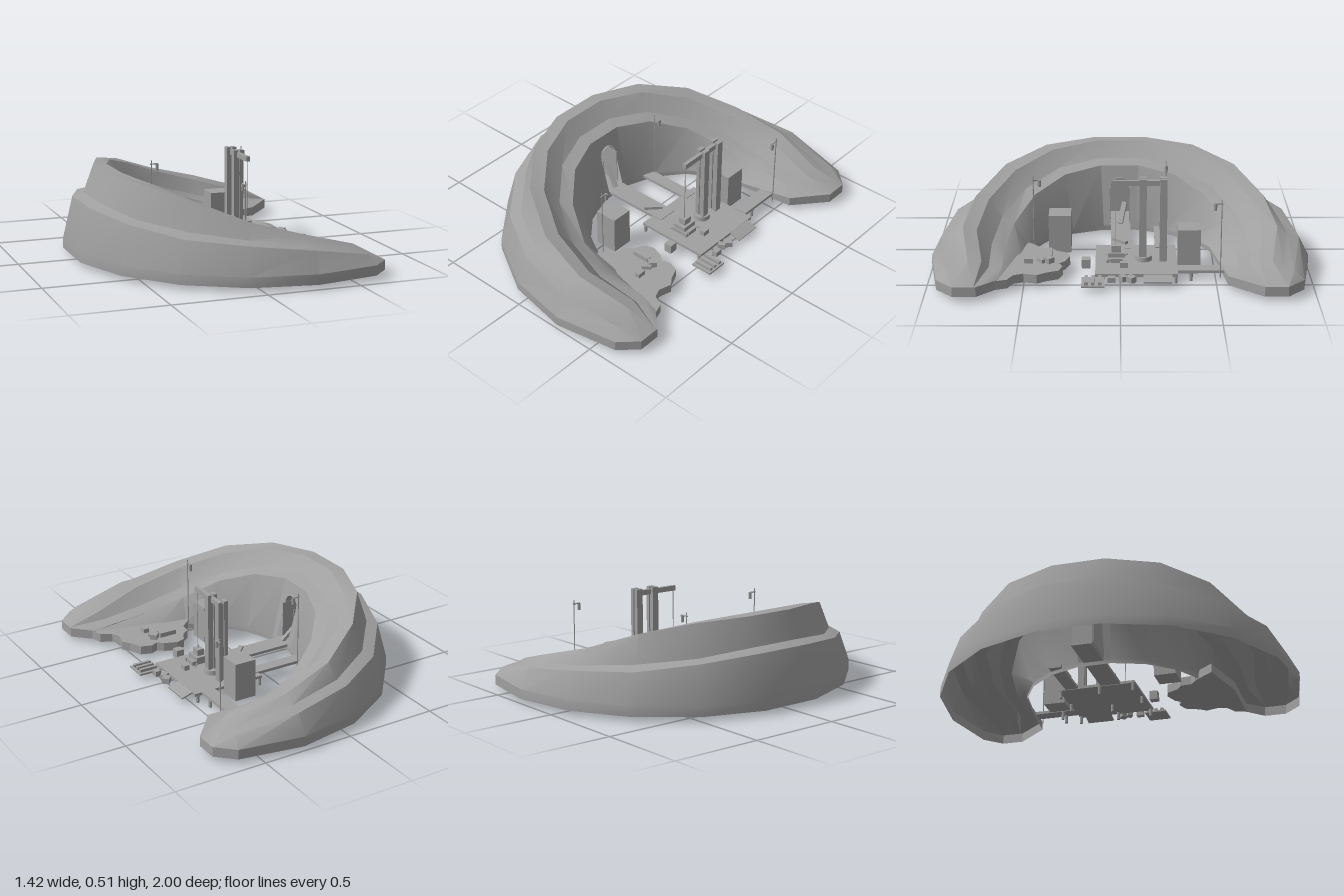
import * as THREE from 'three';
import { toCreasedNormals } from 'three/addons/utils/BufferGeometryUtils.js';

const mat = new THREE.MeshStandardMaterial({ color: 0xa0a0a0, side: THREE.DoubleSide });

export function createModel() {
  const root = new THREE.Group();
  const add = (name, geo, x = 0, y = 0, z = 0) => {
    const m = new THREE.Mesh(geo, mat);
    m.name = name;
    m.position.set(x, y, z);
    root.add(m);
    return m;
  };
  // box given by its extents on each axis
  const block = (name, x0, x1, y0, y1, z0, z1) =>
    add(name, new THREE.BoxGeometry(x1 - x0, y1 - y0, z1 - z0), (x0 + x1) / 2, (y0 + y1) / 2, (z0 + z1) / 2);
  // round rod between two points
  const rod = (name, a, b, r, sides = 6) => {
    const p = new THREE.Vector3(...a), q = new THREE.Vector3(...b);
    const m = add(name, new THREE.CylinderGeometry(r, r, p.distanceTo(q), sides));
    m.position.copy(p).add(q).multiplyScalar(0.5);
    m.quaternion.setFromUnitVectors(new THREE.Vector3(0, 1, 0), q.sub(p).normalize());
    return m;
  };

  // Crescent cliff: cross-sections swept around (0.275, 0), hollow underneath
  const radii = [1, 1, 0.945, 0.885, 0.83, 0.757, 0.68, 0.61, 0.52, 0.52];
  const heights = {
    70: [0.025, 0.078, 0.125, 0.14, 0.16, 0.15, 0.11, 0.1, 0.075, 0.025],
    90: [0.025, 0.078, 0.185, 0.2, 0.24, 0.22, 0.14, 0.12, 0.05, 0.025],
    110: [0.025, 0.078, 0.22, 0.235, 0.315, 0.3, 0.21, 0.18, 0.05, 0.025],
    130: [0.025, 0.078, 0.24, 0.265, 0.41, 0.39, 0.3, 0.28, 0.05, 0.025],
    150: [0.025, 0.078, 0.28, 0.295, 0.465, 0.455, 0.37, 0.35, 0.05, 0.025],
    170: [0.025, 0.078, 0.31, 0.33, 0.48, 0.48, 0.4, 0.38, 0.05, 0.025],
  };
  const tipZ = [0.85, 0.85, 0.848, 0.845, 0.84, 0.745, 0.74, 0.735, 0.73, 0.73];
  // one half of the crescent; side is 1 for +z and -1 for -z
  const halfSections = side => {
    const half = [tipZ.map((z, i) => [0.71, i === 0 || i === 9 ? 0.025 : 0.078, side * z])];
    for (const deg of [70, 90, 110, 130, 150, 170]) {
      half.push(radii.map((r, i) => {
        const y = heights[deg][i];
        if (deg === 70 && i > 7) return side > 0 ? [0.61, y, 0.63] : [0.56, y, -0.555];
        const a = THREE.MathUtils.degToRad(deg), rr = deg === 70 && i > 5 ? r + 0.04 : r;
        return [0.275 + rr * Math.cos(a), y, side * rr * Math.sin(a)];
      }));
    }
    return half;
  };
  const half = halfSections(1);
  const sections = [...half, ...halfSections(-1).reverse()];
  const n = radii.length, idx = [];
  for (let s = 0; s < sections.length - 1; s++)
    for (let i = 0; i < n - 1; i++) {
      if (s === 6 && i === 7) continue; // the doorway panel goes here
      const a = s * n + i, b = a + n;
      idx.push(a, b, a + 1, b, b + 1, a + 1);
    }
  const last = (sections.length - 1) * n;
  for (let i = 1; i < n - 1; i++) {
    idx.push(0, i, i + 1);
    idx.push(last, last + i + 1, last + i);
  }
  const cliff = new THREE.BufferGeometry();
  cliff.setAttribute('position', new THREE.Float32BufferAttribute(sections.flat(2), 3));
  cliff.setIndex(idx);
  // make the winding face outwards before smoothing
  const [p0, p1, p2] = [idx[0], idx[1], idx[2]].map(k => new THREE.Vector3(...sections.flat()[k]));
  const facing = p1.sub(p0).cross(p2.sub(p0)).z;
  if (facing < 0) cliff.setIndex(idx.slice().reverse());
  add('crescentCliff', toCreasedNormals(cliff, 0.45));

  // Leaning wall panel with arched doorway, and the tunnel behind it
  const foot = half[6][8], head = half[6][7];
  const len = Math.hypot(head[0] - foot[0], head[1] - foot[1]);
  const panel = new THREE.Shape([[-foot[2], 0], [foot[2], 0], [head[2], len], [-head[2], len]].map(p => new THREE.Vector2(...p)));
  const arch = new THREE.Path();
  arch.moveTo(-0.055, 0.01);
  arch.lineTo(0.055, 0.01);
  arch.lineTo(0.055, 0.22);
  arch.absarc(0, 0.22, 0.055, 0, Math.PI, false);
  arch.lineTo(-0.055, 0.01);
  panel.holes.push(arch);
  const door = add('doorwayWall', new THREE.ShapeGeometry(panel, 8), foot[0], foot[1], 0);
  door.rotation.y = Math.PI / 2;
  door.rotateX(-Math.atan2(foot[0] - head[0], head[1] - foot[1]));
  const vault = add('tunnelVault', new THREE.CylinderGeometry(0.055, 0.055, 0.15, 10, 1, true, 0, Math.PI), -0.375, 0.26, 0);
  vault.rotation.z = Math.PI / 2;
  for (const s of [-1, 1]) block('tunnelSide', -0.45, -0.28, 0.05, 0.26, s * 0.055 - 0.002, s * 0.055 + 0.002);
  block('tunnelEnd', -0.455, -0.45, 0.05, 0.3, -0.055, 0.055);

  // Wavy plaza
  const shore = [[0.02, 0.57], [0.1, 0.47], [0.15, 0.43], [0.155, 0.37], [0.2, 0.34], [0.23, 0.28], [0.28, 0.265],
    [0.35, 0.29], [0.38, 0.32], [0.42, 0.3], [0.48, 0.32], [0.51, 0.39], [0.54, 0.43], [0.52, 0.5], [0.54, 0.55],
    [0.6, 0.58], [0.62, 0.64], [0.3, 0.64]];
  const plaza = add('plaza', new THREE.ExtrudeGeometry(
    new THREE.Shape(shore.map(p => new THREE.Vector2(...p))), { depth: 0.048, bevelEnabled: false }), 0, 0.073, 0);
  plaza.rotation.x = Math.PI / 2;

  // Deck, walkways and posts
  block('deck', 0.08, 0.49, 0.042, 0.057, -0.3, 0.13);
  block('doorWalkway', -0.46, 0.14, 0.045, 0.061, -0.06, 0.05);
  block('sideWalkway', -0.22, 0.12, 0.045, 0.061, -0.26, -0.19);
  block('backWalkway', 0.375, 0.45, 0.045, 0.061, -0.54, -0.3);
  for (const [x, z] of [[0.09, 0.12], [0.28, 0.12], [0.47, 0.12], [0.09, -0.07], [0.35, -0.07], [0.47, -0.07],
    [0.09, -0.29], [0.28, -0.29], [0.47, -0.29], [0.38, -0.37], [0.44, -0.37]])
    rod('deckPost', [x, 0, z], [x, 0.05, z], 0.009, 8);

  // Houses
  block('backHouse', 0.2, 0.32, 0.025, 0.235, -0.425, -0.305);
  block('frontHouse', -0.02, 0.105, 0.025, 0.235, 0.265, 0.385);

  // Twin-column crane: each column is a pair of bars joined by a thin web
  add('craneBase', new THREE.CylinderGeometry(0.042, 0.045, 0.025, 12), 0.285, 0.069, -0.125);
  for (const z of [-0.12, -0.228]) {
    for (const x of [0.269, 0.303]) block('craneColumn', x - 0.011, x + 0.011, 0.057, 0.512, z - 0.019, z + 0.019);
    block('columnWeb', 0.28, 0.292, 0.057, 0.5, z - 0.012, z + 0.012);
  }
  block('craneArm', 0.275, 0.296, 0.472, 0.5, -0.24, 0.035);
  rod('craneRope', [0.285, 0.48, 0.025], [0.285, 0.14, 0.025], 0.002);

  // Load below the crane: stacked slabs, with crossed poles lying on the deck
  [[0.055, 0.03, 0.057, 0.08], [0.035, 0.045, 0.08, 0.105], [0.02, 0.025, 0.105, 0.14]].forEach(([w, d, a, b]) =>
    block('stackedSlab', 0.285 - w, 0.285 + w, a, b, 0.02 - d, 0.02 + d));
  for (const s of [-1, 1])
    rod('crossedPole', [0.285 - s * 0.055, 0.065, -0.04], [0.285 + s * 0.055, 0.065, 0.075], 0.004);
  block('crate', 0.375, 0.405, 0.057, 0.085, -0.04, 0);
  block('beam', 0.24, 0.34, 0.057, 0.078, 0.055, 0.07);

  // Lamp posts with a short arm and hanging lantern
  for (const [x, z, dx, dz] of [[-0.175, -0.255, 0.033, 0], [0.095, 0.465, 0, -0.033], [0.468, -0.52, 0, 0.033]]) {
    rod('lampPole', [x, 0.025, z], [x, 0.457, z], 0.003);
    rod('lampArm', [x - dx * 0.2, 0.437, z - dz * 0.2], [x + dx * 1.2, 0.437, z + dz * 1.2], 0.004);
    add('lantern', new THREE.CylinderGeometry(0.01, 0.008, 0.036, 6), x + dx, 0.418, z + dz);
  }

  // Floating dock with slats, and a sloping ramp
  block('dock', 0.49, 0.61, 0.03, 0.04, 0.08, 0.2);
  for (const z of [0.105, 0.14, 0.175]) block('dockSlat', 0.5, 0.6, 0.04, 0.056, z - 0.009, z + 0.009);
  block('ramp', 0.485, 0.552, 0.039, 0.047, -0.27, -0.12).rotation.z = -0.3;

  // Loose crates, planks and benches: x, y, z, width, height, depth, turn
  for (const [x, y, z, w, h, d, t] of [[0.525, 0.045, -0.055, 0.045, 0.03, 0.04, 0.8], [0.515, 0.045, -0.015, 0.04, 0.03, 0.03, 0.5],
    [0.53, 0.045, 0.045, 0.03, 0.03, 0.04, 0], [0.32, 0.052, 0.18, 0.045, 0.05, 0.045, 0], [0.285, 0.087, 0.37, 0.1, 0.025, 0.022, 0],
    [0.365, 0.087, 0.375, 0.045, 0.03, 0.04, 0.8], [0.355, 0.083, 0.41, 0.05, 0.02, 0.035, 0.6], [0.37, 0.086, 0.48, 0.03, 0.025, 0.045, 0],
    [0.04, 0.069, 0, 0.1, 0.016, 0.025, 0.8]])
    add('looseCrate', new THREE.BoxGeometry(w, h, d), x, y, z).rotation.y = t;
  // plank leaning in the doorway
  add('leaningPlank', new THREE.BoxGeometry(0.13, 0.016, 0.028), -0.285, 0.11, -0.015).rotation.set(0, -0.3, -0.85);

  return root;
}
